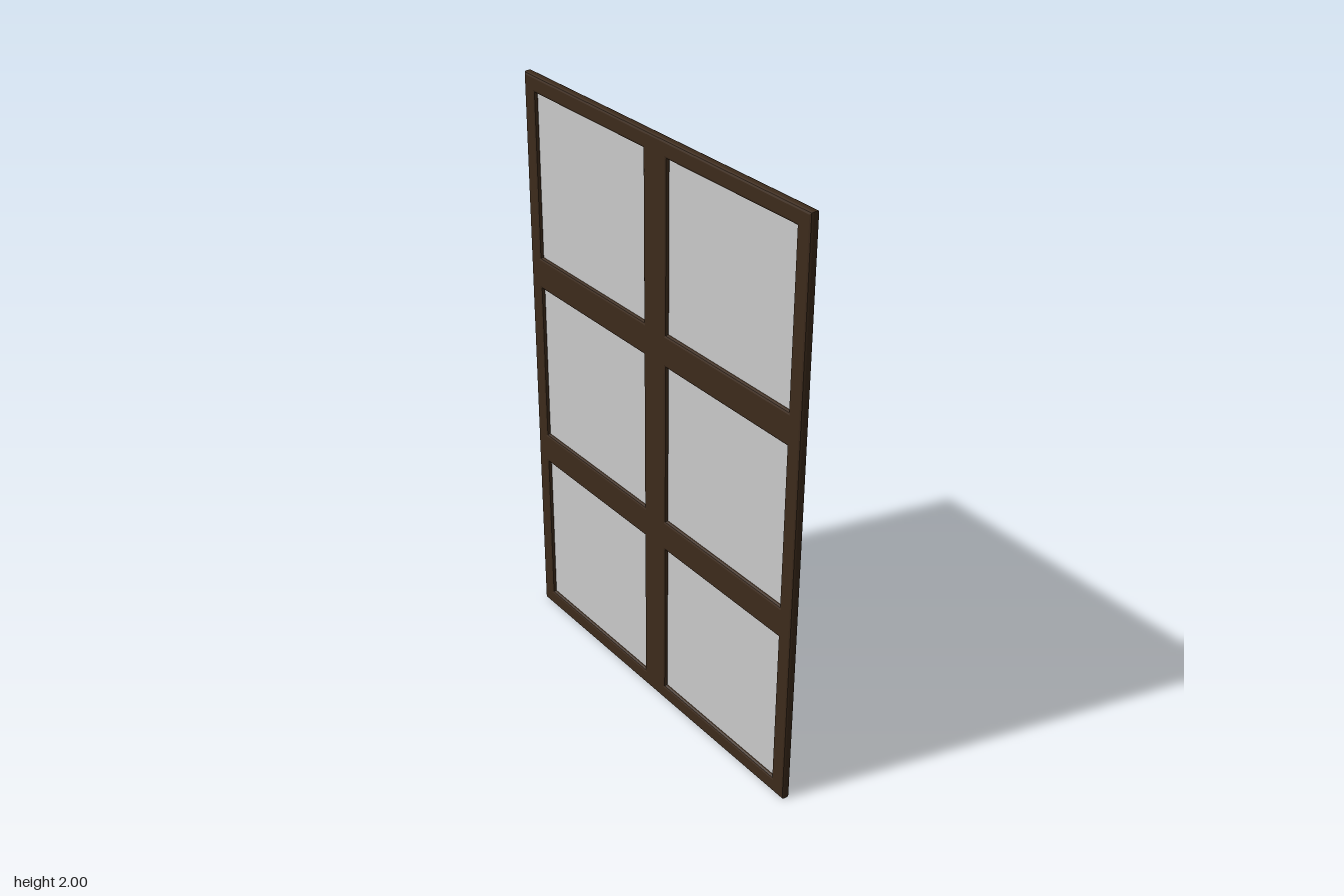
import * as THREE from 'three';

const WIDTH = 1.333, HEIGHT = 2, THICKNESS = 0.03, BEVEL = 0.008;
const COLS = 2, ROWS = 3, BORDER = 0.055;

// Rectangle outline centred on (cx, cy)
function rect(path, cx, cy, w, h) {
  path.moveTo(cx - w / 2, cy - h / 2);
  path.lineTo(cx + w / 2, cy - h / 2);
  path.lineTo(cx + w / 2, cy + h / 2);
  path.lineTo(cx - w / 2, cy + h / 2);
  path.closePath();
  return path;
}

export function createModel() {
  const group = new THREE.Group();
  group.name = 'window';
  const wood = new THREE.MeshStandardMaterial({ color: 0x3d2b1c });
  const glass = new THREE.MeshStandardMaterial({ color: 0xcccccc });

  const cellW = WIDTH / COLS, cellH = HEIGHT / ROWS;
  const openW = cellW - 2 * BORDER, openH = cellH - 2 * BORDER;
  const outline = rect(new THREE.Shape(), 0, HEIGHT / 2, WIDTH, HEIGHT);

  // One opening and one glass pane per cell
  for (let r = 0; r < ROWS; r++) {
    for (let c = 0; c < COLS; c++) {
      const u = (c + 0.5) * cellW - WIDTH / 2;
      const y = (r + 0.5) * cellH;
      outline.holes.push(rect(new THREE.Path(), u, y, openW, openH));
      const pane = new THREE.Mesh(new THREE.BoxGeometry(0.006, openH + 0.01, openW + 0.01), glass);
      pane.name = `pane${r * COLS + c + 1}`;
      pane.position.set(0, y, u);
      group.add(pane);
    }
  }

  // Wooden frame with bevelled edges, turned to lie in the YZ plane
  const depth = THICKNESS - 2 * BEVEL;
  const geometry = new THREE.ExtrudeGeometry(outline, {
    depth, bevelEnabled: true, bevelThickness: BEVEL,
    bevelSize: BEVEL, bevelOffset: -BEVEL, bevelSegments: 2,
  });
  geometry.translate(0, 0, -depth / 2).rotateY(Math.PI / 2);
  const frame = new THREE.Mesh(geometry, wood);
  frame.name = 'frame';
  group.add(frame);
  return group;
}
